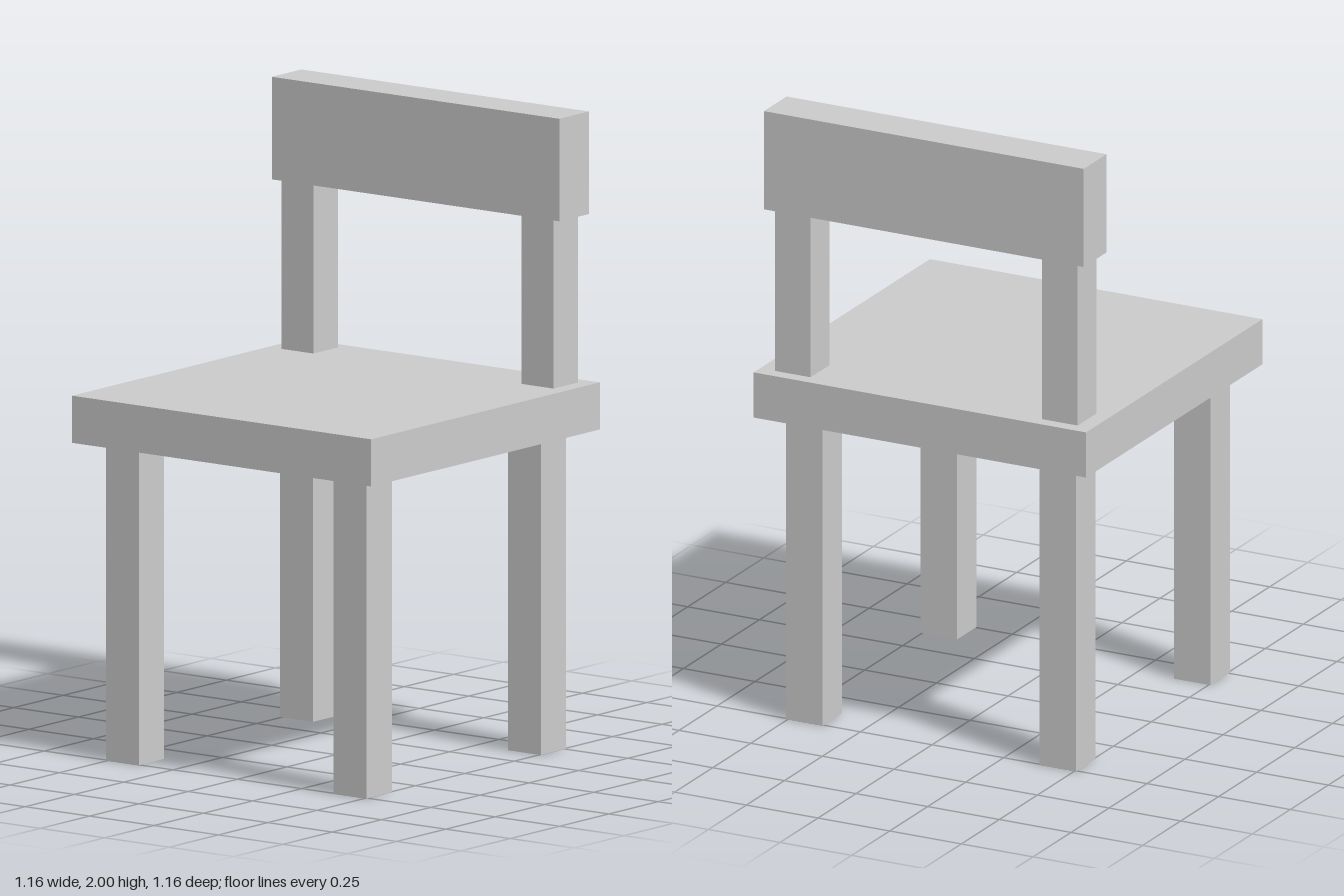
import * as THREE from 'three';

const material = new THREE.MeshStandardMaterial({ color: 0xcccccc, flatShading: true });

// Box standing on height y0 and reaching up to y1
function addBox(group, name, width, depth, y0, y1, x, z) {
  const mesh = new THREE.Mesh(new THREE.BoxGeometry(width, y1 - y0, depth), material);
  mesh.name = name;
  mesh.position.set(x, (y0 + y1) / 2, z);
  group.add(mesh);
}

export function createModel() {
  const chair = new THREE.Group();
  chair.name = 'chair';

  const seatBottom = 1.0, seatTop = 1.148, railBottom = 1.678, top = 2;

  addBox(chair, 'seat', 1.16, 1.16, seatBottom, seatTop, 0, 0);

  // Mirrored legs and backrest posts
  for (const [side, sx] of [['Left', 1], ['Right', -1]]) {
    addBox(chair, 'front' + side + 'Leg', 0.128, 0.128, 0, seatBottom, sx * 0.442, 0.442);
    addBox(chair, 'back' + side + 'Leg', 0.128, 0.128, 0, seatBottom, sx * 0.442, -0.442);
    addBox(chair, 'back' + side + 'Post', 0.124, 0.124, seatTop, railBottom, sx * 0.466, -0.475);
  }

  // Wide board across the top of the posts
  addBox(chair, 'backrest', 1.116, 0.15, railBottom, top, 0, -0.479);

  return chair;
}
